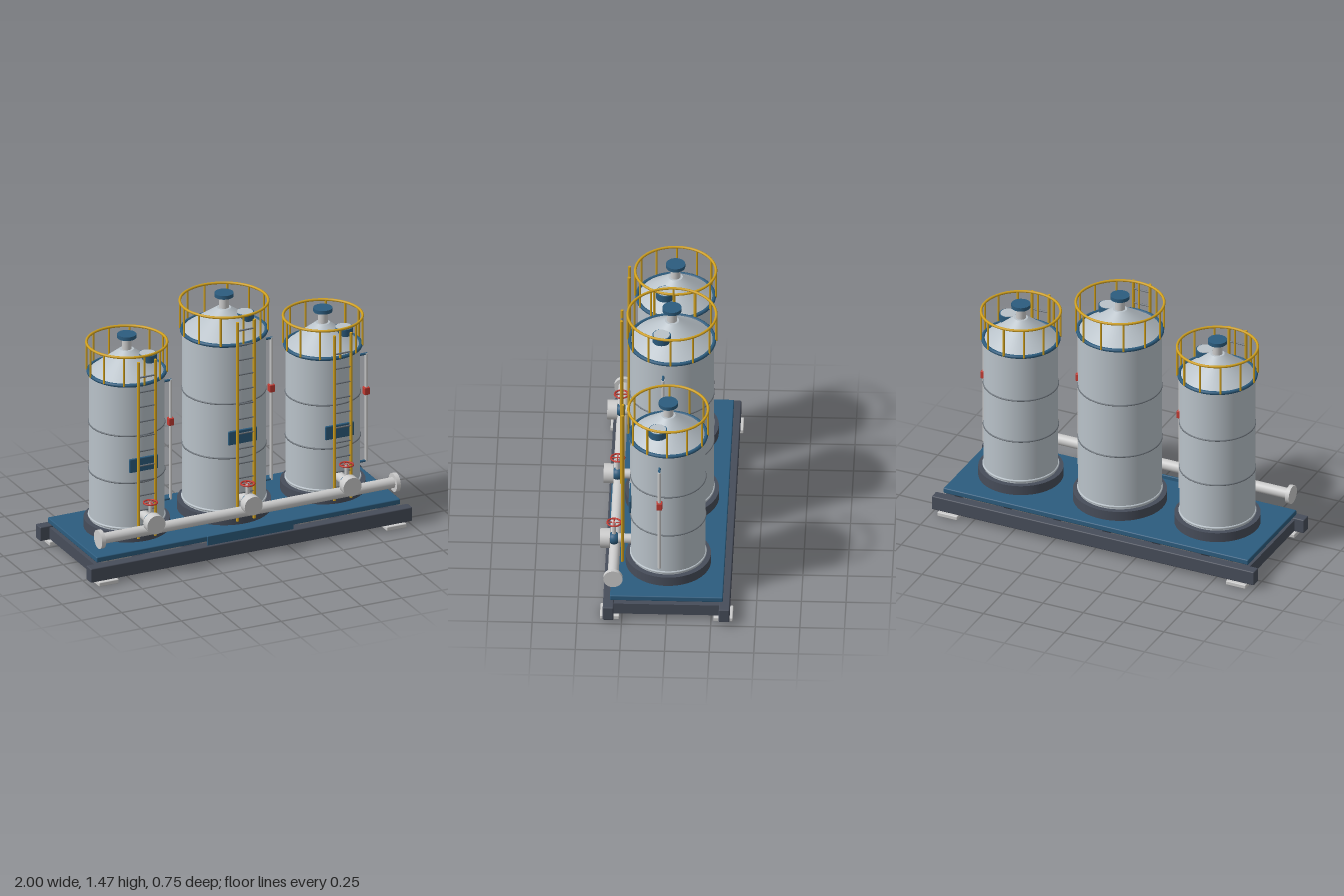
import * as THREE from 'three';
import { RoundedBoxGeometry } from 'three/addons/geometries/RoundedBoxGeometry.js';

const mat = (color) => new THREE.MeshStandardMaterial({ color });
const M = {
  grey: mat(0xcccccc), shell: mat(0xb9c2c9), blue: mat(0x2c5c7e), dark: mat(0x474d5a),
  yellow: mat(0xd0a01e), red: mat(0xc23a32), steel: mat(0x6c737a),
};

function add(parent, name, geo, material, x = 0, y = 0, z = 0) {
  const mesh = new THREE.Mesh(geo, material);
  mesh.name = name;
  mesh.position.set(x, y, z);
  parent.add(mesh);
  return mesh;
}
const cyl = (r, h, n = 24) => new THREE.CylinderGeometry(r, r, h, n);
const box = (w, h, d) => new THREE.BoxGeometry(w, h, d);
const rbox = (w, h, d, r) => new RoundedBoxGeometry(w, h, d, 2, r);
const ring = (r, t, n = 64) => new THREE.TorusGeometry(r, t, 10, n).rotateX(Math.PI / 2);

// Skid frame with feet, cross members and deck
function buildBase() {
  const g = new THREE.Group();
  g.name = 'skidBase';
  for (const s of [-1, 1]) {
    add(g, 'sideBeam', rbox(2, 0.085, 0.06, 0.006), M.dark, 0, 0.0675, s * 0.325);
    for (const t of [-1, 1]) {
      add(g, 'foot', rbox(0.123, 0.025, 0.108, 0.005), M.grey, t * 0.895, 0.0125, s * 0.318);
    }
  }
  for (let i = -3; i <= 3; i++) {
    add(g, 'crossMember', box(0.05, 0.068, 0.6), M.dark, i * 0.306, 0.066, 0);
  }
  add(g, 'deck', rbox(1.89, 0.032, 0.632, 0.006), M.blue, 0, 0.139, 0);
  add(g, 'frontPlate', rbox(0.535, 0.058, 0.012, 0.004), M.blue, 0, 0.137, 0.336);
  return g;
}

// Tank shell, cone roof, neck and manhole
function buildVessel(g, r, top) {
  const bottom = 0.22, h = top - bottom;
  add(g, 'pedestal', cyl(r + 0.03, 0.057, 64), M.dark, 0, 0.193, 0);
  add(g, 'tankShell', cyl(r, h, 64), M.shell, 0, bottom + h / 2, 0);
  add(g, 'baseRing', ring(r, 0.007), M.shell, 0, 0.237, 0);
  for (const f of [0.33, 0.652]) {
    add(g, 'shellBand', ring(r, 0.005), M.steel, 0, bottom + h * f, 0);
  }
  add(g, 'coneRoof', new THREE.CylinderGeometry(0.04, r, 0.135, 64), M.shell, 0, top + 0.0675, 0);
  add(g, 'ventNeck', cyl(0.028, 0.09), M.grey, 0, top + 0.165, 0);
  add(g, 'ventFlange', cyl(0.054, 0.022, 32), M.blue, 0, top + 0.213, 0);
  add(g, 'manhole', cyl(0.052, 0.042, 32), M.blue, 0.103, top + 0.087, 0.055);
  add(g, 'manholeLid', cyl(0.046, 0.004, 32), M.shell, 0.103, top + 0.109, 0.055);
  add(g, 'namePlate', rbox(0.178, 0.083, 0.014, 0.005), M.blue, 0, bottom + h * 0.456, r + 0.004);
}

// Guard rail around the roof edge
function buildRailing(g, r, top) {
  const rr = r + 0.014;
  add(g, 'roofRing', ring(r + 0.003, 0.011), M.blue, 0, top, 0);
  add(g, 'topRail', ring(rr, 0.0075), M.yellow, 0, top + 0.175, 0);
  for (let i = 0; i < 12; i++) {
    const a = (i * Math.PI) / 6;
    add(g, 'railPost', cyl(0.006, 0.175, 10), M.yellow,
      rr * Math.sin(a), top + 0.0875, rr * Math.cos(a));
  }
}

// Front ladder
function buildLadder(g, r, top) {
  const z = r + 0.047, y0 = 0.195, y1 = top + 0.16;
  for (const s of [-1, 1]) {
    add(g, 'ladderRail', cyl(0.0085, y1 - y0, 10), M.yellow, s * 0.052, (y0 + y1) / 2, z);
  }
  for (let y = y0 + 0.08; y < y1 - 0.03; y += 0.09) {
    add(g, 'ladderRung', cyl(0.005, 0.104, 8).rotateZ(Math.PI / 2), M.steel, 0, y, z);
  }
}

// Level gauge on the left side of the tank
function buildGauge(g, r, top) {
  const x = r + 0.04, z = 0.042, y0 = 0.295, y1 = top - 0.085;
  add(g, 'gaugeTube', cyl(0.009, y1 - y0, 12), M.grey, x, (y0 + y1) / 2, z);
  for (const y of [y0 + 0.004, y1 - 0.004]) {
    add(g, 'gaugeConnector', cyl(0.007, 0.06, 12).rotateZ(Math.PI / 2), M.blue, x - 0.025, y, z);
  }
  add(g, 'gaugeMarker', rbox(0.033, 0.045, 0.033, 0.004), M.red, x, 0.22 + (top - 0.22) * 0.617, z);
}

// Outlet pipe with valve and handwheel
function buildValve(g, r) {
  const v = new THREE.Group();
  v.name = 'outletValve';
  v.position.set(0, 0.315, 0.304);
  const len = 0.304 - r + 0.02;
  add(v, 'outletPipe', cyl(0.028, len).rotateX(Math.PI / 2), M.grey, 0, 0, -len / 2);
  add(v, 'valveBody', new THREE.SphereGeometry(0.036, 24, 16), M.blue);
  add(v, 'endFlange', cyl(0.056, 0.055, 32).rotateX(Math.PI / 2), M.grey, 0, 0, 0.05);
  add(v, 'valveStem', cyl(0.012, 0.085, 12), M.grey, 0, 0.067, 0);
  add(v, 'handwheel', ring(0.038, 0.005, 32), M.red, 0, 0.108, 0);
  for (let i = 0; i < 2; i++) {
    const spoke = add(v, 'wheelSpoke', cyl(0.0035, 0.076, 8).rotateZ(Math.PI / 2), M.red, 0, 0.108, 0);
    spoke.rotation.y = (i * Math.PI) / 2;
  }
  g.add(v);
}

export function createModel() {
  const model = new THREE.Group();
  model.name = 'tankSkid';
  model.add(buildBase());

  // Three tanks: x position, radius, top of shell
  const tanks = [[-0.605, 0.212, 1.11], [0, 0.234, 1.248], [0.615, 0.209, 1.04]];
  for (const [x, r, top] of tanks) {
    const g = new THREE.Group();
    g.name = 'tank';
    g.position.x = x;
    buildVessel(g, r, top);
    buildRailing(g, r, top);
    buildLadder(g, r, top);
    buildGauge(g, r, top);
    buildValve(g, r);
    model.add(g);
  }

  // Manifold pipe along the front
  add(model, 'manifoldPipe', cyl(0.031, 1.82, 32).rotateZ(Math.PI / 2), M.grey, 0, 0.257, 0.3);
  for (const s of [-1, 1]) {
    add(model, 'manifoldFlange', cyl(0.054, 0.024, 32).rotateZ(Math.PI / 2), M.grey, s * 0.917, 0.257, 0.3);
  }
  return model;
}
